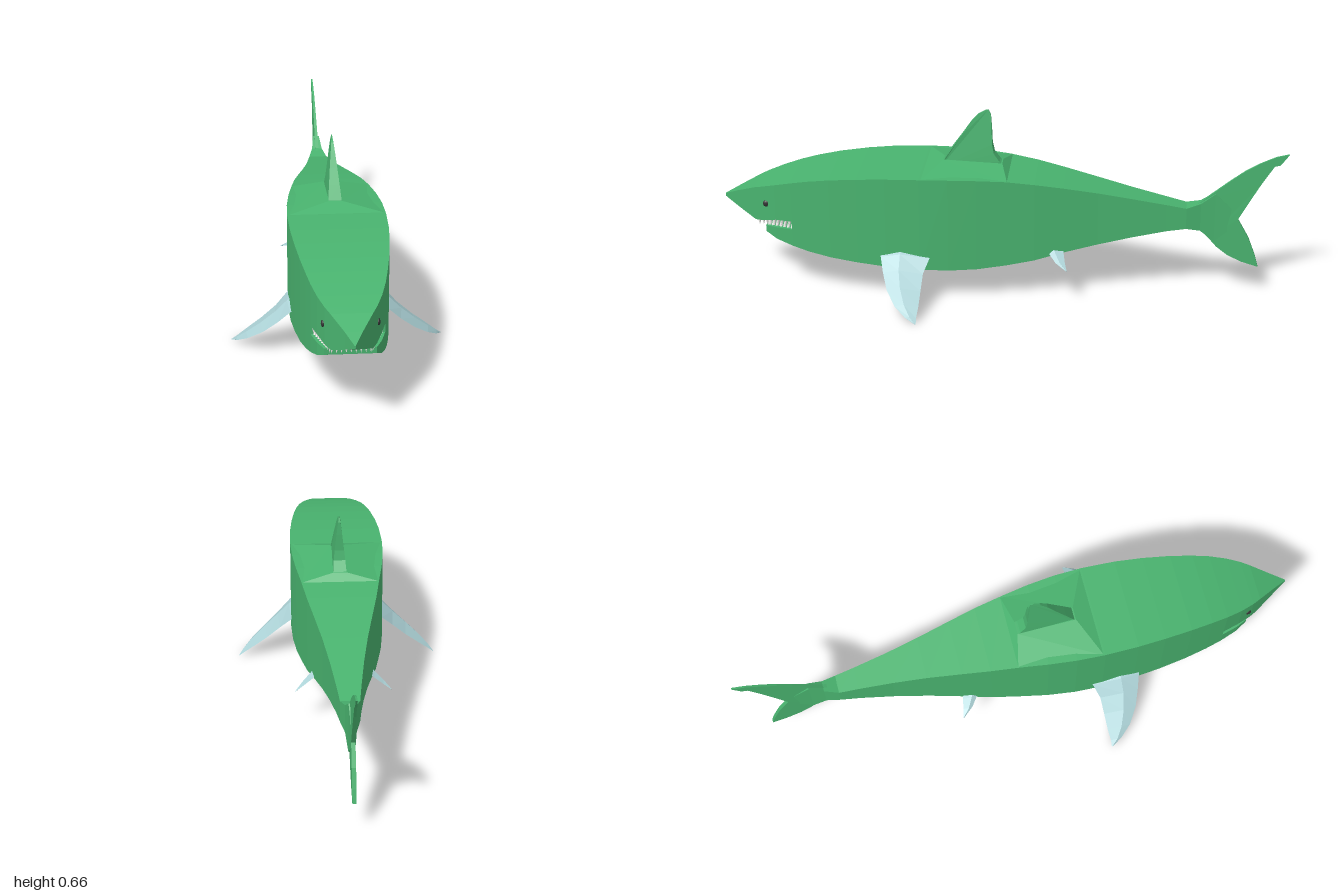
import * as THREE from 'three';

const paint = (color) => new THREE.MeshStandardMaterial({ color, flatShading: true });
const skin = paint(0x49b36f), finSkin = paint(0xacd2d6), dark = paint(0x333333), ivory = paint(0xf4f4f0);

// Closed skin through a row of rings, with both ends capped
function loft(rings) {
  const n = rings[0].length, pos = [];
  const tri = (...pts) => pts.forEach((p) => pos.push(...p));
  for (let r = 0; r < rings.length - 1; r++) {
    const a = rings[r], b = rings[r + 1];
    for (let i = 0; i < n; i++) {
      const j = (i + 1) % n;
      tri(a[i], b[i], b[j]);
      tri(a[i], b[j], a[j]);
    }
  }
  const first = rings[0], last = rings[rings.length - 1];
  for (let i = 1; i < n - 1; i++) {
    tri(first[0], first[i], first[i + 1]);
    tri(last[0], last[i + 1], last[i]);
  }
  const g = new THREE.BufferGeometry();
  g.setAttribute('position', new THREE.Float32BufferAttribute(pos, 3));
  g.computeVertexNormals();
  return g;
}

// Rectangular cross-sections: [z, top, bottom, half width]
const boxLoft = (rows) => loft(rows.map(([z, t, b, w]) => [[-w, b, z], [w, b, z], [w, t, z], [-w, t, z]]));

// Upright plate from a smooth (z, y) outline; half(y) is its half thickness
function plate(outline, half) {
  const shape = new THREE.Shape(outline.map(([z, y]) => new THREE.Vector2(z, y)));
  const g = new THREE.ExtrudeGeometry(shape, { depth: 2, bevelEnabled: false });
  g.translate(0, 0, -1).rotateY(-Math.PI / 2);
  const p = g.attributes.position;
  for (let i = 0; i < p.count; i++) p.setX(i, p.getX(i) * half(p.getY(i)));
  g.computeVertexNormals();
  return g;
}

// Side fin with lens sections: [x, y, leading z, trailing z, half thickness]
function sideFin(rows, side) {
  return loft(rows.map(([x, y, lead, trail, h]) => {
    const mid = lead * 0.6 + trail * 0.4;
    const ring = [[x, y, lead], [x + h * 0.5, y + h, mid], [x, y, trail], [x - h * 0.5, y - h, mid]]
      .map(([px, py, pz]) => [px * side, py, pz]);
    return side > 0 ? ring : ring.reverse();
  }));
}

export function createModel() {
  const model = new THREE.Group();
  const add = (name, geometry, material) => {
    const m = new THREE.Mesh(geometry, material);
    m.name = name;
    model.add(m);
    return m;
  };

  // Trunk from the mouth corner back to the tail root
  add('body', boxLoft([
    [0.74, 0.411, 0.172, 0.12], [0.68, 0.424, 0.157, 0.132], [0.6, 0.437, 0.143, 0.145],
    [0.5, 0.448, 0.132, 0.157], [0.4, 0.455, 0.124, 0.165], [0.28, 0.458, 0.118, 0.168],
    [0.18, 0.458, 0.116, 0.164], [0.08, 0.455, 0.12, 0.153], [-0.02, 0.448, 0.131, 0.137],
    [-0.12, 0.434, 0.147, 0.121], [-0.22, 0.416, 0.172, 0.101], [-0.34, 0.392, 0.197, 0.077],
    [-0.46, 0.366, 0.22, 0.057], [-0.58, 0.341, 0.241, 0.041], [-0.65, 0.326, 0.249, 0.033],
    [-0.7, 0.34, 0.238, 0.019], [-0.75, 0.375, 0.195, 0.011], [-0.83, 0.3, 0.26, 0.004],
  ]), skin);

  // Snout above the mouth slit, jaw below it
  add('snout', boxLoft([
    [1, 0.317, 0.307, 0.002], [0.95, 0.34, 0.28, 0.028], [0.88, 0.37, 0.247, 0.067],
    [0.85, 0.38, 0.251, 0.083], [0.8, 0.395, 0.263, 0.103], [0.74, 0.411, 0.265, 0.12],
  ]), skin);
  add('lowerJaw', boxLoft([
    [0.84, 0.232, 0.21, 0.084], [0.8, 0.234, 0.19, 0.103], [0.74, 0.235, 0.172, 0.12],
  ]), skin);

  // Raised back under the dorsal fin
  add('dorsalBase', loft([
    [[-0.136, 0.447, -0.025], [0.136, 0.447, -0.025], [0.168, 0.457, 0.275], [-0.168, 0.457, 0.275]],
    [[-0.023, 0.472, 0], [0.023, 0.472, 0], [0.023, 0.48, 0.21], [-0.023, 0.48, 0.21]],
  ]), skin);

  add('dorsalFin', plate([
    [-0.02, 0.45], [0.22, 0.45], [0.205, 0.48], [0.175, 0.525], [0.14, 0.575], [0.11, 0.62],
    [0.085, 0.648], [0.06, 0.663], [0.05, 0.664], [0.042, 0.645], [0.039, 0.6], [0.037, 0.54],
    [0.03, 0.505], [0.01, 0.477],
  ], (y) => 0.001 + 0.022 * Math.pow(Math.min(1, Math.max(0, (0.665 - y) / 0.185)), 0.85)), skin);

  add('tailFin', plate([
    [-0.62, 0.33], [-0.62, 0.248], [-0.66, 0.249], [-0.7, 0.236], [-0.73, 0.207], [-0.76, 0.173],
    [-0.8, 0.142], [-0.85, 0.118], [-0.91, 0.1], [-0.897, 0.145], [-0.872, 0.21], [-0.832, 0.28],
    [-0.87, 0.35], [-0.91, 0.42], [-0.95, 0.483], [-0.97, 0.488], [-1, 0.529], [-0.955, 0.518],
    [-0.9, 0.492], [-0.85, 0.462], [-0.8, 0.424], [-0.75, 0.383], [-0.7, 0.342], [-0.66, 0.325],
  ], (y) => 0.007 - 0.004 * Math.min(1, Math.max(0, (y - 0.3) / 0.23))), skin);

  for (const side of [1, -1]) {
    const label = side > 0 ? 'left' : 'right';
    add(label + 'PectoralFin', sideFin([
      [0.12, 0.195, 0.425, 0.225, 0.014], [0.168, 0.163, 0.418, 0.245, 0.014],
      [0.21, 0.121, 0.405, 0.264, 0.014], [0.26, 0.078, 0.386, 0.267, 0.013],
      [0.31, 0.041, 0.353, 0.269, 0.009], [0.345, 0.015, 0.312, 0.273, 0.005],
      [0.365, 0.001, 0.276, 0.272, 0.001],
    ], side), finSkin);
    add(label + 'PelvicFin', sideFin([
      [0.085, 0.19, -0.15, -0.22, 0.008], [0.11, 0.17, -0.172, -0.224, 0.008],
      [0.14, 0.148, -0.197, -0.23, 0.005], [0.168, 0.13, -0.235, -0.238, 0.001],
    ], side), finSkin);
    const eye = add(label + 'Eye', new THREE.SphereGeometry(1, 14, 10), dark);
    eye.scale.set(0.007, 0.012, 0.012);
    eye.position.set(0.087 * side, 0.318, 0.835);
  }

  // Teeth along both lips and across the front
  const teeth = new THREE.Group();
  teeth.name = 'teeth';
  const cone = new THREE.ConeGeometry(0.0065, 0.024, 5);
  const tooth = (x, y, z, down) => {
    const t = new THREE.Mesh(cone, ivory);
    t.name = down ? 'upperTooth' : 'lowerTooth';
    t.position.set(x, y, z);
    if (down) t.rotation.x = Math.PI;
    teeth.add(t);
  };
  for (let i = 0; i < 9; i++) {
    const z = 0.865 - i * 0.0145, x = 0.068 + i * 0.0053;
    for (const side of [1, -1]) {
      tooth(x * side, 0.242 + i * 0.0014, z, true);
      if (i > 1) tooth((x - 0.004) * side, 0.243, z - 0.007, false);
    }
    const fx = (i - 4) * 0.0155;
    tooth(fx, 0.24, 0.868, true);
    tooth(fx, 0.24, 0.832, false);
  }
  model.add(teeth);
  return model;
}
